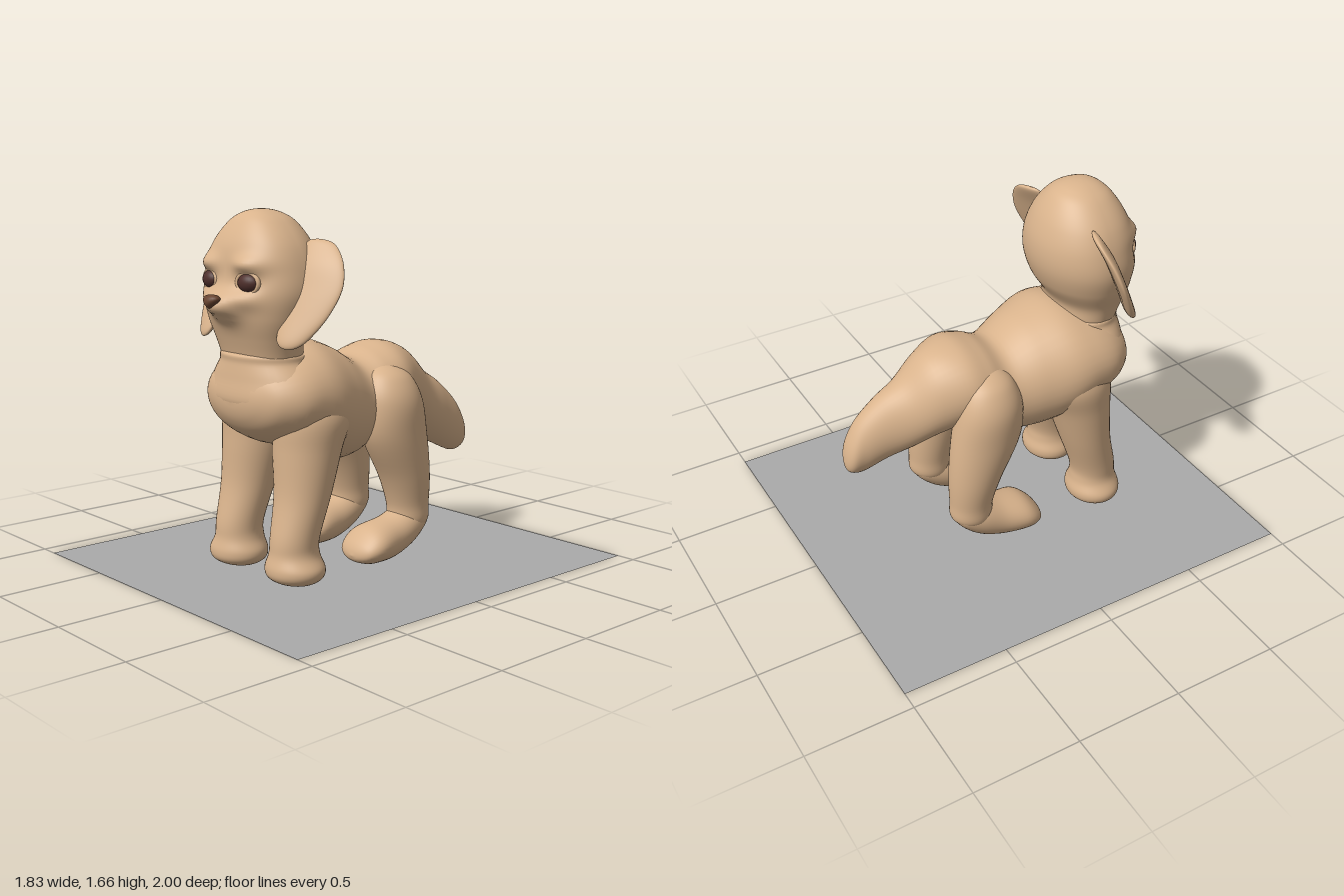
import * as THREE from 'three';

const fur = new THREE.MeshStandardMaterial({ color: 0xd9b38c });
fur.name = 'tan fur';
const eyeBrown = new THREE.MeshStandardMaterial({ color: 0x4e2f2b });
eyeBrown.name = 'dark eye brown';
const noseBrown = new THREE.MeshStandardMaterial({ color: 0x66432f });
noseBrown.name = 'nose brown';
const groundGrey = new THREE.MeshStandardMaterial({ color: 0xaaaaaa, side: THREE.DoubleSide });
groundGrey.name = 'ground grey';

const X = new THREE.Vector3(1, 0, 0);
const Y = new THREE.Vector3(0, 1, 0);
const Z = new THREE.Vector3(0, 0, 1);

// Smooth skin through elliptical stations [x, y, z, radiusU, radiusV].
// Squared radii are interpolated so that ends with zero radius come out round.
function loft(stations, u, v, { steps = 6, sides = 40, frontPower = 2, warp } = {}) {
  const data = stations.map(([x, y, z, a, b]) => [x, y, z, a * a, b * b]);
  const rows = (data.length - 1) * steps;
  const pos = [];
  const index = [];
  const spline = (a, b, c, d, t) => b + 0.5 * t * (c - a + t * (2 * a - 5 * b + 4 * c - d + t * (3 * (b - c) + d - a)));
  const at = (i) => data[Math.max(0, Math.min(data.length - 1, i))];
  for (let r = 0; r <= rows; r++) {
    const i = Math.min(Math.floor(r / steps), data.length - 2);
    const t = r / steps - i;
    const s = [0, 1, 2, 3, 4].map((k) => spline(at(i - 1)[k], at(i)[k], at(i + 1)[k], at(i + 2)[k], t));
    const ru = Math.sqrt(Math.max(s[3], 1e-7));
    const rv = Math.sqrt(Math.max(s[4], 1e-7));
    for (let j = 0; j < sides; j++) {
      const angle = (j / sides) * Math.PI * 2;
      let c = Math.cos(angle);
      let n = Math.sin(angle);
      if (n > 0) {
        c = Math.sign(c) * Math.abs(c) ** (2 / frontPower);
        n = n ** (2 / frontPower);
      }
      const p = new THREE.Vector3(s[0], s[1], s[2]).addScaledVector(u, c * ru).addScaledVector(v, n * rv);
      if (warp) warp(p);
      pos.push(p.x, p.y, p.z);
    }
  }
  const first = new THREE.Vector3(...stations[0]);
  const last = new THREE.Vector3(...stations[stations.length - 1]);
  const outward = u.clone().cross(v).dot(last.sub(first)) > 0;
  for (let r = 0; r < rows; r++) {
    for (let j = 0; j < sides; j++) {
      const a = r * sides + j;
      const b = r * sides + ((j + 1) % sides);
      const c = a + sides;
      const d = b + sides;
      if (outward) index.push(a, b, d, a, d, c);
      else index.push(a, d, b, a, c, d);
    }
  }
  const geo = new THREE.BufferGeometry();
  geo.setAttribute('position', new THREE.Float32BufferAttribute(pos, 3));
  geo.setIndex(index);
  geo.computeVertexNormals();
  return geo;
}

export function createModel() {
  const model = new THREE.Group();
  model.name = 'puppy';
  const add = (name, geo, material = fur) => {
    const mesh = new THREE.Mesh(geo, material);
    mesh.name = name;
    model.add(mesh);
    return mesh;
  };

  // Ground sheet
  add('ground', new THREE.PlaneGeometry(1.83, 2).rotateX(-Math.PI / 2), groundGrey);

  // Chest, belly, hips and drooping tail in one run from front to back
  add('bodyAndTail', loft([
    [0, 0.83, 0.615, 0, 0],
    [0, 0.83, 0.59, 0.17, 0.1],
    [0, 0.83, 0.54, 0.27, 0.16],
    [0, 0.83, 0.45, 0.335, 0.21],
    [0, 0.83, 0.35, 0.35, 0.24],
    [0, 0.80, 0.24, 0.345, 0.28],
    [0, 0.76, 0.1, 0.30, 0.275],
    [0, 0.735, -0.04, 0.255, 0.23],
    [0, 0.80, -0.15, 0.25, 0.2],
    [0, 0.82, -0.26, 0.245, 0.2],
    [0, 0.78, -0.39, 0.19, 0.2],
    [0.025, 0.695, -0.5, 0.145, 0.175],
    [0.05, 0.635, -0.6, 0.11, 0.163],
    [0.065, 0.565, -0.7, 0.085, 0.14],
    [0.065, 0.52, -0.76, 0.065, 0.09],
    [0.06, 0.49, -0.79, 0, 0],
  ], X, Y));

  // Neck sinking into the chest, with a slightly uneven fold around it
  add('neckBase', loft([
    [0, 0.74, 0.40, 0.30, 0.16],
    [0, 0.82, 0.42, 0.335, 0.195],
    [0, 0.92, 0.42, 0.29, 0.185],
    [0, 0.99, 0.425, 0.235, 0.17],
    [0, 1.03, 0.43, 0.215, 0.16],
    [0, 1.035, 0.43, 0, 0],
  ], X, Z));

  // Head: lofted egg with muzzle, brows, sockets and cheeks pushed in or out
  const bump = (p, x, y, sx, sy) => Math.exp(-(((Math.abs(p.x) - x) / sx) ** 2) - ((p.y - y) / sy) ** 2);
  const shapeFace = (p) => {
    if (p.z < 0.45) return;
    p.z += 0.085 * bump(p, 0, 1.245, 0.09, 0.06)
      + 0.035 * bump(p, 0.14, 1.43, 0.08, 0.04)
      - 0.02 * bump(p, 0.13, 1.35, 0.06, 0.04)
      + 0.02 * bump(p, 0.13, 1.28, 0.07, 0.04)
      - 0.012 * bump(p, 0, 1.205, 0.05, 0.008);
  };
  add('head', loft([
    [0, 0.95, 0.43, 0.21, 0.13],
    [0, 1.02, 0.43, 0.22, 0.145],
    [0, 1.1, 0.44, 0.24, 0.16],
    [0, 1.2, 0.425, 0.28, 0.205],
    [0, 1.3, 0.415, 0.30, 0.225],
    [0, 1.4, 0.41, 0.285, 0.22],
    [0, 1.5, 0.417, 0.245, 0.198],
    [0, 1.6, 0.42, 0.16, 0.14],
    [0, 1.64, 0.425, 0.095, 0.09],
    [0, 1.66, 0.43, 0, 0],
  ], X, Z, { steps: 10, sides: 80, frontPower: 2.4, warp: shapeFace }));

  // Nose: rounded wedge, wide on top
  const nose = new THREE.SphereGeometry(1, 24, 16);
  const np = nose.attributes.position;
  for (let i = 0; i < np.count; i++) np.setX(i, np.getX(i) * (0.65 + 0.45 * np.getY(i)));
  nose.scale(0.062, 0.032, 0.035).translate(0, 1.268, 0.705);
  nose.computeVertexNormals();
  add('nose', nose, noseBrown);

  for (const [side, label] of [[1, 'left'], [-1, 'right']]) {
    const mirror = (rows) => rows.map(([x, ...rest]) => [x * side, ...rest]);

    // Eye and its lid rim
    const eye = add(`${label}Eye`, new THREE.SphereGeometry(1, 24, 16), eyeBrown);
    eye.scale.set(0.057, 0.042, 0.04);
    eye.position.set(side * 0.132, 1.352, 0.604);
    eye.rotation.y = side * 0.2;
    const lid = add(`${label}EyeLid`, new THREE.TorusGeometry(0.058, 0.011, 10, 32));
    lid.scale.set(1, 0.76, 1);
    lid.position.set(side * 0.132, 1.352, 0.612);
    lid.rotation.y = side * 0.2;

    // Hanging ear, a thin leaf leaning forward at the bottom
    add(`${label}Ear`, loft(mirror([
      [0.26, 1.535, 0.33, 0, 0],
      [0.285, 1.51, 0.335, 0.07, 0.02],
      [0.325, 1.43, 0.37, 0.105, 0.026],
      [0.34, 1.33, 0.41, 0.12, 0.026],
      [0.33, 1.22, 0.46, 0.105, 0.026],
      [0.305, 1.12, 0.51, 0.072, 0.026],
      [0.30, 1.075, 0.535, 0, 0],
    ]), new THREE.Vector3(1, 0, -0.35 * side), Z));

    // Front leg with paw
    add(`${label}FrontLeg`, loft(mirror([
      [0.18, 0.88, 0.30, 0.1, 0.12],
      [0.185, 0.75, 0.30, 0.165, 0.18],
      [0.185, 0.6, 0.33, 0.158, 0.155],
      [0.195, 0.4, 0.367, 0.135, 0.125],
      [0.2, 0.22, 0.415, 0.113, 0.112],
      [0.2, 0.14, 0.42, 0.115, 0.115],
      [0.205, 0.08, 0.42, 0.145, 0.13],
      [0.205, 0.04, 0.42, 0.138, 0.123],
      [0.205, 0.012, 0.42, 0.095, 0.08],
      [0.205, 0.005, 0.42, 0, 0],
    ]), X, Z));

    // Hind leg down to the heel
    add(`${label}HindLeg`, loft(mirror([
      [0.16, 0.93, -0.16, 0, 0],
      [0.18, 0.87, -0.165, 0.11, 0.12],
      [0.2, 0.76, -0.17, 0.14, 0.16],
      [0.205, 0.6, -0.19, 0.137, 0.17],
      [0.21, 0.4, -0.25, 0.118, 0.13],
      [0.21, 0.26, -0.275, 0.1, 0.105],
      [0.21, 0.17, -0.275, 0.095, 0.1],
      [0.21, 0.11, -0.25, 0, 0],
    ]), X, Z));

    // Hind foot
    add(`${label}HindFoot`, loft(mirror([
      [0.21, 0.2, -0.375, 0, 0],
      [0.21, 0.185, -0.34, 0.075, 0.06],
      [0.21, 0.15, -0.25, 0.1, 0.1],
      [0.21, 0.11, -0.14, 0.11, 0.1],
      [0.21, 0.095, -0.02, 0.13, 0.088],
      [0.21, 0.075, 0.05, 0.105, 0.055],
      [0.21, 0.06, 0.085, 0, 0],
    ]), X, Y));
  }
  return model;
}
